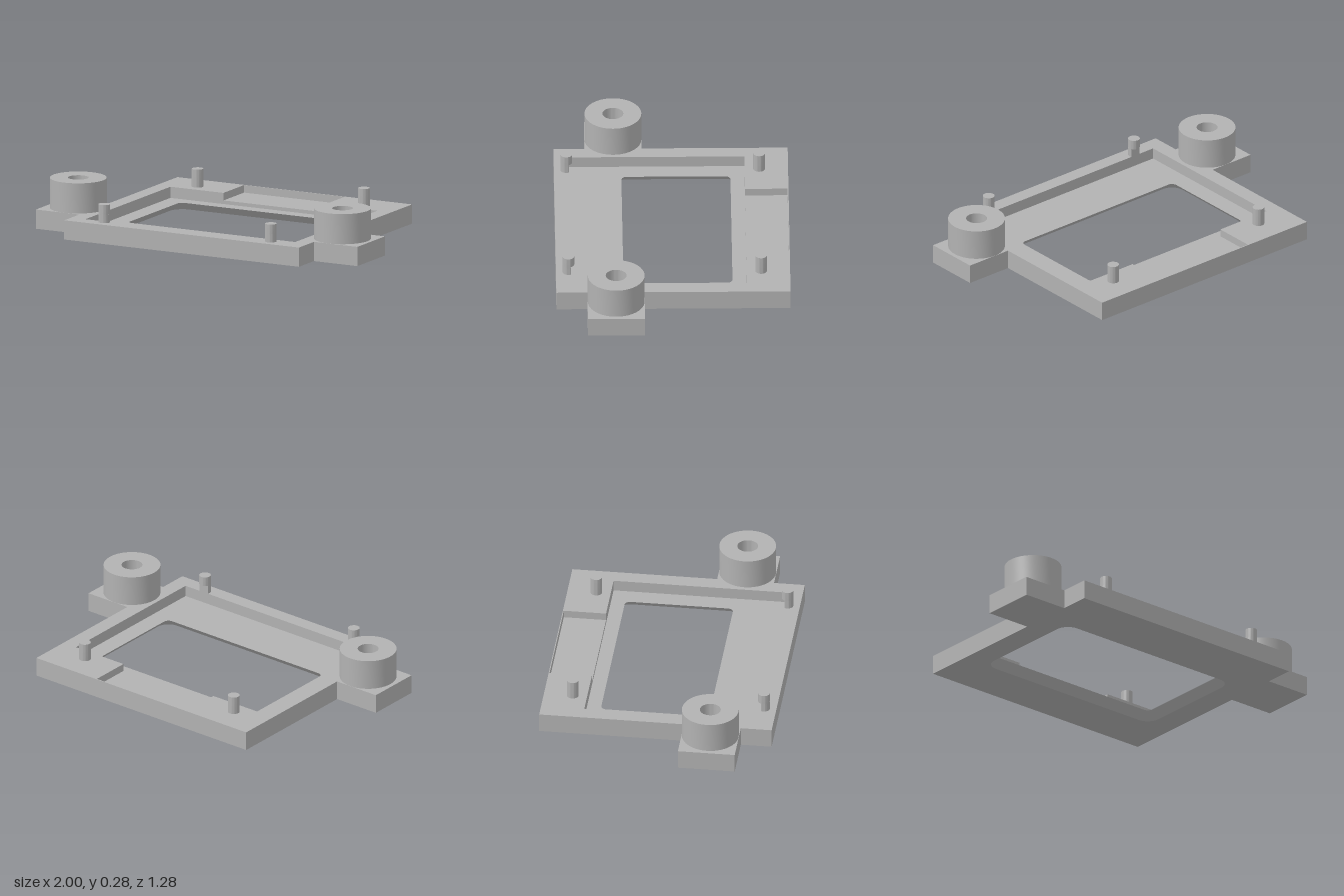
import * as THREE from 'three';
import { toCreasedNormals } from 'three/addons/utils/BufferGeometryUtils.js';

const FLOOR = 0.045, POCKET = 0.065, TOP = 0.107;
const PEG_TOP = 0.207, BOSS_TOP = 0.275;
const RECESS_FRONT = 0.557;

// Shapes are drawn in plan: shape x = x, shape y = z
const polygon = (pts) => new THREE.Shape(pts.map(([x, z]) => new THREE.Vector2(x, z)));

function slab(shape, y0, y1) {
  const g = new THREE.ExtrudeGeometry(shape, { depth: y1 - y0, bevelEnabled: false, curveSegments: 24 });
  g.rotateX(Math.PI / 2);
  g.translate(0, y1, 0);
  return g;
}

// Plate outline with a mounting ear on each side
function outline(hole) {
  const half = [[0.73, 0.638], [0.73, 0.469], [1, 0.469], [1, 0.157], [0.73, 0.157], [0.73, -0.638]];
  const shape = polygon([...half, ...half.map(([x, z]) => [-x, z]).reverse()]);
  shape.holes.push(hole);
  return shape;
}

// Rounded window, wider at the underside
const WIN = { x: 0.54, z0: -0.324, z1: 0.27, r: 0.03 };
function windowHole(grow) {
  const r = WIN.r + grow, cx = WIN.x - WIN.r, za = WIN.z0 + WIN.r, zb = WIN.z1 - WIN.r;
  const p = new THREE.Path();
  const q = Math.PI / 2;
  p.absarc(cx, zb, r, 0, q);
  p.absarc(-cx, zb, r, q, 2 * q);
  p.absarc(-cx, za, r, 2 * q, 3 * q);
  p.absarc(cx, za, r, 3 * q, 4 * q);
  p.closePath();
  return p;
}

function flaredBase() {
  const g = slab(outline(windowHole(FLOOR)), 0, FLOOR);
  const pos = g.attributes.position;
  const cx = WIN.x - WIN.r, za = WIN.z0 + WIN.r, zb = WIN.z1 - WIN.r;
  const k = WIN.r / (WIN.r + FLOOR);
  for (let i = 0; i < pos.count; i++) {
    const x = pos.getX(i), y = pos.getY(i), z = pos.getZ(i);
    if (y < FLOOR / 2 || Math.abs(x) > 0.65 || Math.abs(z) > 0.5) continue;
    // pull the upper rim in towards the corner centres
    const bx = Math.sign(x) * cx, bz = z > (za + zb) / 2 ? zb : za;
    pos.setX(i, bx + (x - bx) * k);
    pos.setZ(i, bz + (z - bz) * k);
  }
  return g;
}

export function createModel() {
  const model = new THREE.Group();
  model.name = 'displayBezel';
  const grey = new THREE.MeshStandardMaterial({ color: 0xb2b2b2 });
  grey.name = 'grey';

  const add = (name, geometry, x = 0, y = 0, z = 0) => {
    const mesh = new THREE.Mesh(toCreasedNormals(geometry, 0.6), grey);
    mesh.name = name;
    mesh.position.set(x, y, z);
    model.add(mesh);
  };

  // Plate in three layers: floor with window, recess, recess plus back pocket
  const rx = 0.643, rb = -0.401, px = 0.313, pb = -0.633;
  add('baseFloor', flaredBase());
  add('recessFrame', slab(outline(polygon(
    [[-rx, rb], [rx, rb], [rx, RECESS_FRONT], [-rx, RECESS_FRONT]])), FLOOR, POCKET));
  add('upperFrame', slab(outline(polygon(
    [[-rx, rb], [-px, rb], [-px, pb], [px, pb], [px, rb], [rx, rb],
      [rx, RECESS_FRONT], [-rx, RECESS_FRONT]])), POCKET, TOP));

  // Front peg foot: circle trimmed flush with the recess wall
  const pegR = 0.032, pegZ = 0.57;
  const a = Math.asin((RECESS_FRONT - pegZ) / pegR);
  const foot = new THREE.Shape();
  foot.absarc(0, 0, pegR, a, Math.PI - a, false);
  foot.closePath();

  for (const [side, s] of [['left', 1], ['right', -1]]) {
    // Hollow boss on each ear
    const boss = [[0.057, TOP], [0.155, TOP], [0.155, BOSS_TOP], [0.057, BOSS_TOP], [0.057, TOP]];
    add(side + 'Boss', new THREE.LatheGeometry(
      boss.map(([r, y]) => new THREE.Vector2(r, y)), 48), s * 0.822, 0, 0.313);

    // Locating pegs
    const h = PEG_TOP - TOP, notch = 0.155;
    add(side + 'BackPeg', new THREE.CylinderGeometry(pegR, pegR, h, 28), s * 0.518, TOP + h / 2, -0.48);
    add(side + 'FrontPegFoot', slab(foot, TOP, notch), s * 0.518, 0, pegZ);
    add(side + 'FrontPegHead', new THREE.CylinderGeometry(pegR, pegR, PEG_TOP - notch, 28),
      s * 0.518, (PEG_TOP + notch) / 2, pegZ);
  }
  return model;
}
